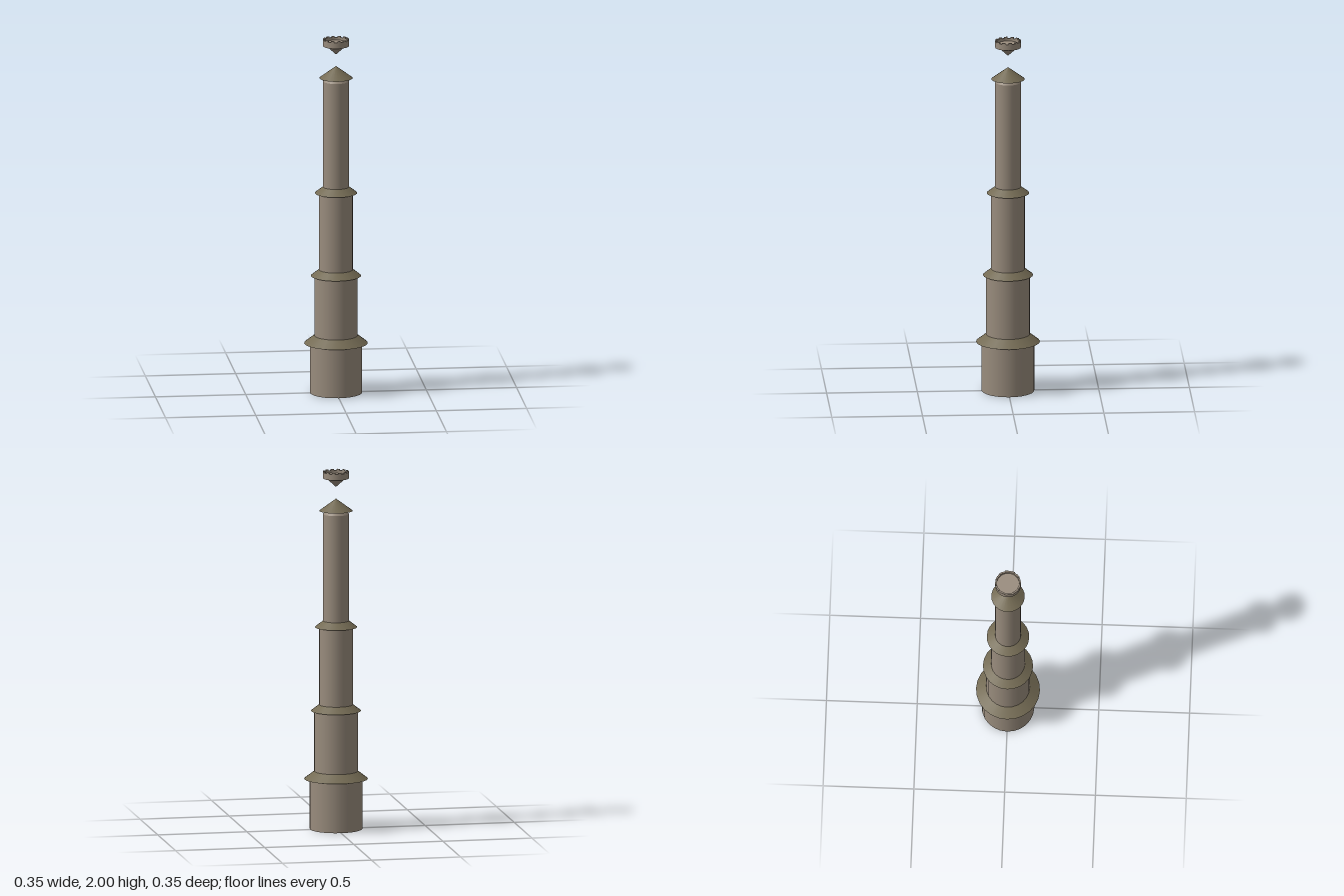
import * as THREE from 'three';

const SIDES = 24;

export function createModel() {
  const model = new THREE.Group();
  model.name = 'tieredTower';
  const stone = new THREE.MeshStandardMaterial({ color: 0x998c7d });
  stone.name = 'warm grey stone';
  const roof = new THREE.MeshStandardMaterial({ color: 0x746b54 });
  roof.name = 'olive roof';

  const add = (name, geometry, material, y = 0) => {
    const mesh = new THREE.Mesh(geometry, material);
    mesh.name = name;
    mesh.position.y = y;
    model.add(mesh);
    return mesh;
  };
  // Tapered drum between two heights
  const drum = (name, bottomR, topR, y0, y1, material) =>
    add(name, new THREE.CylinderGeometry(topR, bottomR, y1 - y0, SIDES), material, (y0 + y1) / 2);

  // Stacked shafts: radius, bottom, top
  [
    [0.145, 0, 0.285],
    [0.12, 0.28, 0.665],
    [0.093, 0.66, 1.135],
    [0.071, 1.13, 1.76],
  ].forEach(([r, y0, y1], i) => drum(`shaft${i + 1}`, r, r, y0, y1, stone));

  // Sloping eaves between shafts: outer radius, inner radius, bottom, top
  [
    [0.176, 0.12, 0.28, 0.323],
    [0.138, 0.093, 0.66, 0.695],
    [0.117, 0.071, 1.128, 1.163],
  ].forEach(([r0, r1, y0, y1], i) => drum(`eave${i + 1}`, r0, r1, y0, y1, roof));

  // Neck and conical cap
  drum('neck', 0.071, 0.058, 1.76, 1.78, stone);
  add('roofCap', new THREE.ConeGeometry(0.092, 0.068, SIDES), roof, 1.812);

  // Floating turret: pointed underside, wall and sunken floor
  drum('turretPoint', 0, 0.045, 1.911, 1.952, stone);
  drum('turretFlare', 0.045, 0.071, 1.952, 1.959, stone);
  drum('turretBase', 0.071, 0.071, 1.959, 1.978, stone);
  const wall = [[0.062, 1.978], [0.071, 1.978], [0.071, 1.993], [0.062, 1.993], [0.062, 1.978]];
  // Separate bands keep the rim edges sharp
  for (let i = 1; i < wall.length - 1 + 1; i++) {
    const band = [wall[i - 1], wall[i]].map(([x, y]) => new THREE.Vector2(x, y));
    add(`turretWall${i}`, new THREE.LatheGeometry(band, SIDES), stone);
  }

  // Low battlements around the rim
  const step = (Math.PI * 2) / SIDES;
  const shape = new THREE.Shape();
  shape.moveTo(0.071, 0);
  shape.lineTo(0.071 * Math.cos(step), 0.071 * Math.sin(step));
  shape.lineTo(0.062 * Math.cos(step), 0.062 * Math.sin(step));
  shape.lineTo(0.062, 0);
  const merlon = new THREE.ExtrudeGeometry(shape, { depth: 0.007, bevelEnabled: false });
  merlon.rotateX(-Math.PI / 2);
  for (let i = 0; i < SIDES; i += 2) {
    add('merlon', merlon, stone, 1.993).rotation.y = i * step;
  }
  return model;
}
